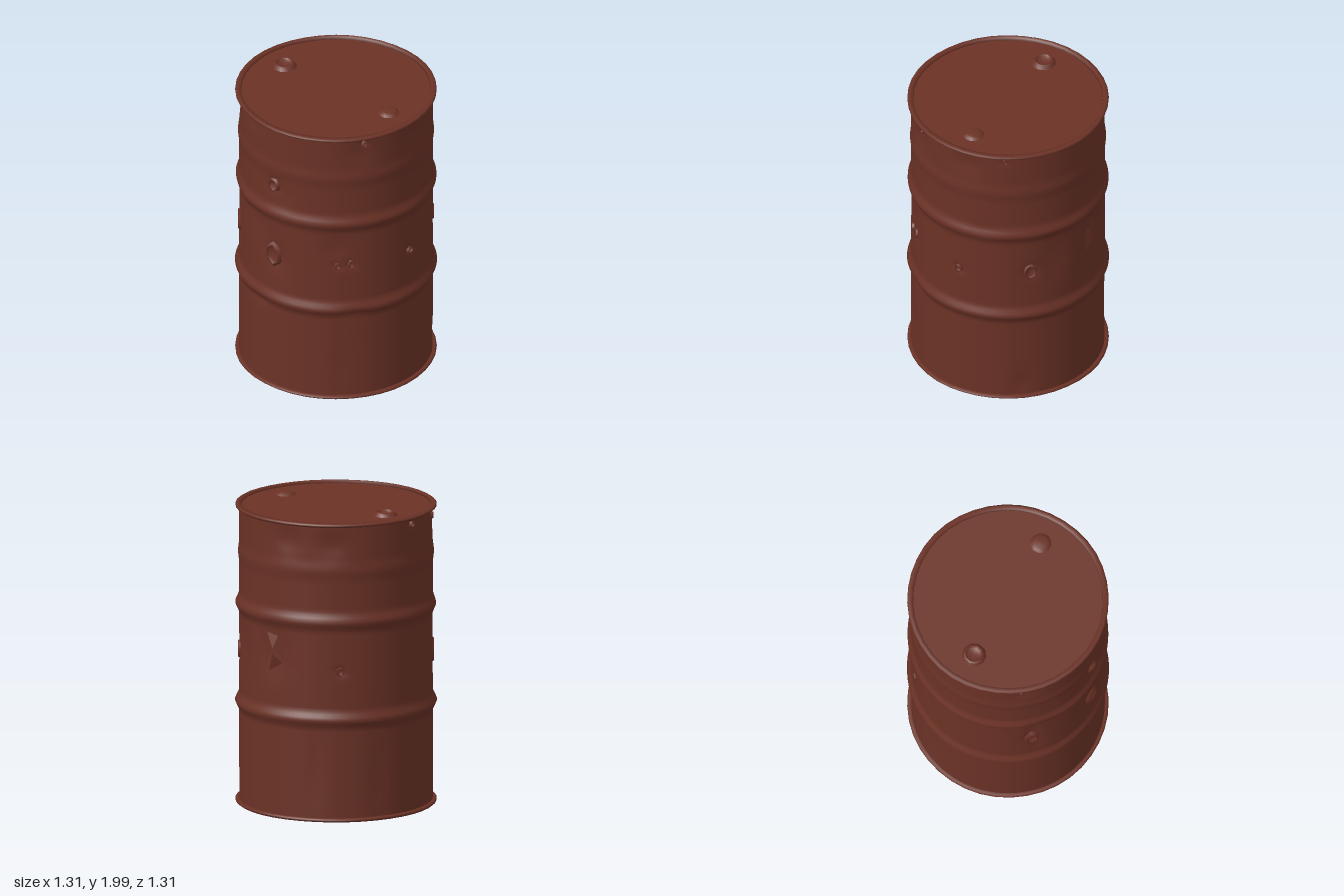
import * as THREE from 'three';
import { mergeVertices } from 'three/addons/utils/BufferGeometryUtils.js';

const R = 0.628;
const rust = new THREE.MeshStandardMaterial({ color: 0x6b3226, side: THREE.DoubleSide });
rust.name = 'rust brown';

// Punctures: x, z (direction), height, half width, half height, sides
const holes = [
  [0.15, 0.61, 1.54, 0.04, 0.045, 7],
  [0.145, 0.61, 1.01, 0.055, 0.08, 6],
  [-0.34, 0.53, 1.01, 0.045, 0.075, 6],
  [0.52, 0.36, 1.01, 0.022, 0.025, 5],
  [0.56, 0.28, 1.02, 0.022, 0.035, 5],
  [0.61, -0.15, 1.0, 0.025, 0.025, 6],
  [0.33, -0.53, 1.02, 0.04, 0.055, 8],
  [-0.543, -0.324, 1.0, 0.025, 0.03, 6],
  [-0.4, 0.485, 1.92, 0.018, 0.022, 5],
  [-0.6, 0.2, 1.93, 0.018, 0.022, 5],
  [0.595, 0.2, 1.925, 0.02, 0.025, 5],
  [0.46, -0.43, 1.93, 0.018, 0.02, 5],
].map(([x, z, y, w, h, n]) => ({ a: Math.atan2(x, z), y, w, h, n }));

// Dents: angle, height, half width, half height, depth (negative bulges outward)
const dents = [
  ...holes.map(o => [o.a, o.y, o.w * 0.9, o.h * 0.9, 0.022]),
  [0.36, 1.5, 0.09, 0.12, 0.01], [0.3, 0.98, 0.09, 0.12, 0.014],
  [0.1, 1.17, 0.07, 0.1, 0.01], [-0.57, 1.13, 0.04, 0.12, 0.014],
  [-0.5, 0.9, 0.04, 0.08, 0.012], [0.95, 1.14, 0.08, 0.1, 0.012],
  [-0.29 + Math.PI, 1.1, 0.1, 0.17, 0.012], [0.29 + Math.PI, 1.1, 0.1, 0.16, 0.022],
  [-0.65, 1.88, 0.09, 0.09, 0.014], [-0.1, 1.93, 0.09, 0.05, 0.008],
  [1.2, 1.85, 0.1, 0.09, 0.012], [1.9, 1.87, 0.1, 0.08, 0.014],
  [3.6, 1.86, 0.1, 0.09, 0.018], [4.1, 1.84, 0.1, 0.08, 0.016],
  [0.05, 0.64, 0.12, 0.04, 0.01], [1.15, 0.66, 0.1, 0.03, 0.012],
  [-0.45, 1.33, 0.1, 0.03, 0.008], [2.1, 1.36, 0.08, 0.04, 0.008],
  [1.0, 0.25, 0.06, 0.22, 0.008], [3.9, 0.3, 0.06, 0.25, 0.01],
  [4.6, 0.3, 0.07, 0.25, 0.008], [2.5, 0.12, 0.05, 0.08, 0.012],
];

function dentDepth(angle, y) {
  let d = 0;
  for (const [a, cy, w, h, depth] of dents) {
    const s = Math.atan2(Math.sin(angle - a), Math.cos(angle - a)) * R / w;
    const t = (y - cy) / h;
    d += depth * Math.exp(-s * s - t * t);
  }
  return d;
}

// Wall radius with two pressed hoops and one faint ridge
function wallRadius(y) {
  const ridge = (c, half, out) => out * Math.max(0, 1 - Math.abs(y - c) / half);
  return R + ridge(1.33, 0.06, 0.027) + ridge(0.68, 0.06, 0.027) + ridge(1.67, 0.07, 0.008);
}

function weld(geo) {
  geo.deleteAttribute('uv');
  geo.deleteAttribute('normal');
  const g = mergeVertices(geo, 1e-5);
  g.computeVertexNormals();
  return g;
}

function add(parent, geo, name) {
  const m = new THREE.Mesh(geo, rust);
  m.name = name;
  parent.add(m);
  return m;
}

const lathe = (pts, n) => new THREE.LatheGeometry(pts.map(p => new THREE.Vector2(p[0], p[1])), n);

function wallGeometry() {
  const pts = [];
  for (let i = 0; i <= 97; i++) {
    const y = 0.02 + i * 0.02;
    pts.push([wallRadius(y), y]);
  }
  const geo = weld(lathe(pts, 120));
  const p = geo.attributes.position;
  for (let i = 0; i < p.count; i++) {
    const x = p.getX(i), z = p.getZ(i), y = p.getY(i);
    const r = Math.hypot(x, z);
    const k = (r - dentDepth(Math.atan2(x, z), y)) / r;
    p.setXYZ(i, x * k, y, z * k);
  }
  geo.computeVertexNormals();
  return geo;
}

// Rolled rim with a slight unevenness
function rimGeometry(y) {
  const geo = weld(lathe([
    [0.615, y - 0.012], [0.645, y - 0.012], [0.655, y - 0.004], [0.655, y + 0.005],
    [0.645, y + 0.012], [0.62, y + 0.012], [0.615, y - 0.012],
  ], 40));
  const p = geo.attributes.position;
  for (let i = 0; i < p.count; i++) {
    const a = Math.atan2(p.getX(i), p.getZ(i));
    const k = 1 - 0.003 * (1 + Math.sin(a * 5 + y) * Math.cos(a * 2));
    p.setX(i, p.getX(i) * k);
    p.setZ(i, p.getZ(i) * k);
  }
  geo.computeVertexNormals();
  return geo;
}

export function createModel() {
  const barrel = new THREE.Group();
  barrel.name = 'barrel';

  add(barrel, wallGeometry(), 'dentedWall');
  add(barrel, rimGeometry(0.018), 'bottomRim');
  add(barrel, rimGeometry(1.977), 'topRim');

  // Recessed end plates
  const lid = new THREE.CircleGeometry(0.625, 40);
  add(barrel, lid.clone().rotateX(-Math.PI / 2).translate(0, 1.972, 0), 'lid');
  add(barrel, lid.clone().rotateX(Math.PI / 2).translate(0, 0.026, 0), 'base');

  // Filler neck, open in the middle
  const neck = lathe([[0.085, -0.005], [0.07, 0.016], [0.062, 0.026], [0.052, 0.026],
    [0.045, 0.006], [0, 0.006]], 10);
  add(barrel, neck, 'fillerNeck').position.set(-0.43, 1.972, 0.1);

  // Domed plug on the other side
  const plug = lathe([[0.075, -0.005], [0.058, 0.012], [0.04, 0.02], [0, 0.022]], 12);
  add(barrel, plug, 'ventPlug').position.set(0.43, 1.972, -0.11);

  // Bent lips around the punctures
  holes.forEach(({ a, y, w, h, n }) => {
    const geo = lathe([[1.25, -0.018], [1, 0.007], [0.8, 0.005], [0.7, -0.012], [0, -0.014]], n);
    geo.rotateX(Math.PI / 2).scale(w, h, 1);
    const lip = add(barrel, geo, 'punctureLip');
    lip.position.set(Math.sin(a) * R, y, Math.cos(a) * R);
    lip.rotation.y = a;
  });

  // Torn flaps around the large rip at the back
  const tear = new THREE.Group();
  tear.name = 'tear';
  const flaps = [
    [[-0.08, 0.15], [0.03, 0.12], [0, 0.03]],
    [[0.08, 0.14], [0.07, -0.05], [0.01, 0.03]],
    [[-0.08, -0.14], [-0.08, 0.12], [-0.03, 0.02]],
    [[-0.06, -0.15], [0.06, -0.06], [0, -0.01]],
  ];
  for (const [p, q, tip] of flaps) {
    const geo = new THREE.BufferGeometry();
    geo.setAttribute('position', new THREE.Float32BufferAttribute(
      [...p, -0.016, ...q, -0.016, ...tip, 0.012], 3));
    geo.computeVertexNormals();
    add(tear, geo, 'tornFlap');
  }
  const angle = Math.PI + 0.29;
  tear.position.set(Math.sin(angle) * R, 1.1, Math.cos(angle) * R);
  tear.rotation.y = angle;
  barrel.add(tear);

  return barrel;
}
